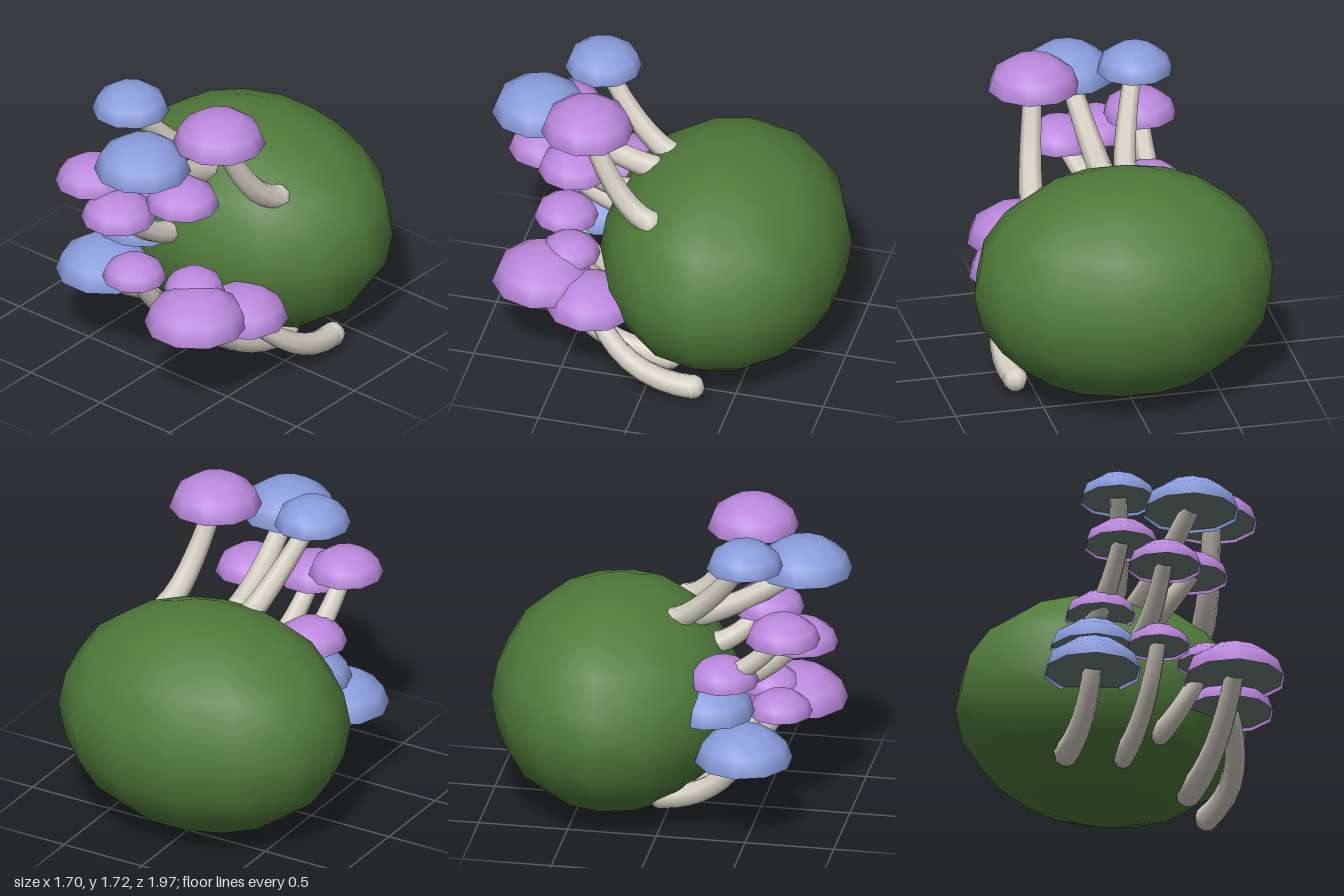
import * as THREE from 'three';

const makeMaterial = (name, color, side = THREE.FrontSide) => {
  const m = new THREE.MeshStandardMaterial({ color, side });
  m.name = name;
  return m;
};

// Curved stalk that narrows from its foot to the cap
function stalkGeometry(foot, bend, top, r0, r1) {
  const steps = 8, sides = 7;
  const curve = new THREE.QuadraticBezierCurve3(foot, bend, top);
  const geo = new THREE.TubeGeometry(curve, steps, 1, sides, false);
  const pos = geo.attributes.position, v = new THREE.Vector3();
  for (let i = 0; i <= steps; i++) {
    const centre = curve.getPointAt(i / steps);
    const r = THREE.MathUtils.lerp(r0, r1, i / steps);
    for (let j = 0; j <= sides; j++) {
      const k = i * (sides + 1) + j;
      v.fromBufferAttribute(pos, k).sub(centre).multiplyScalar(r).add(centre);
      pos.setXYZ(k, v.x, v.y, v.z);
    }
  }
  return geo;
}

export function createModel() {
  const model = new THREE.Group();
  model.name = 'mushroomBoulder';
  const moss = makeMaterial('mossGreen', 0x507a3a);
  const blue = makeMaterial('capBlue', 0x8a9ddd, THREE.DoubleSide);
  const purple = makeMaterial('capPurple', 0xbb88dd, THREE.DoubleSide);
  const cream = makeMaterial('stalkCream', 0xd6d0c5);
  const gill = makeMaterial('gillGrey', 0x6c7f79);

  const add = (parent, name, geo, mat) => {
    const mesh = new THREE.Mesh(geo, mat);
    mesh.name = name;
    parent.add(mesh);
    return mesh;
  };

  // Large mossy body
  const body = add(model, 'body', new THREE.SphereGeometry(1, 14, 10), moss);
  body.scale.set(0.85, 0.638, 0.69);
  body.position.set(0, 0.645, -0.315);

  // Cap: colour, rim centre, radius; stalk: foot and bend point
  const mushrooms = [
    [blue, [-0.24, 1.56, 0.45], 0.215, [-0.09, 1.15, 0.03], [-0.12, 1.24, 0.22]],
    [blue, [0.08, 1.425, 0.73], 0.27, [0.03, 1.12, 0.1], [0.04, 1.2, 0.4]],
    [purple, [0.35, 1.545, 0.39], 0.258, [0.45, 1.05, 0.0], [0.42, 1.1, 0.2]],
    [purple, [-0.32, 1.17, 0.68], 0.21, [-0.31, 0.86, 0.2], [-0.31, 0.92, 0.46]],
    [purple, [-0.085, 1.055, 0.74], 0.21, [-0.06, 0.78, 0.32], [-0.06, 0.84, 0.54]],
    [purple, [0.18, 1.135, 0.505], 0.207, [0.05, 0.96, 0.24], [0.08, 1.0, 0.38]],
    [purple, [-0.3, 0.885, 0.34], 0.2, [-0.3, 0.68, 0.18], [-0.3, 0.72, 0.3]],
    [blue, [-0.315, 0.7, 0.27], 0.25, [-0.31, 0.52, 0.16], [-0.31, 0.56, 0.25]],
    [blue, [-0.405, 0.468, 0.475], 0.275, [-0.36, 0.19, 0.0], [-0.37, 0.2, 0.3]],
    [purple, [-0.07, 0.62, 0.62], 0.18, [-0.06, 0.18, 0.1], [-0.06, 0.24, 0.42]],
    [purple, [0.27, 0.62, 0.51], 0.17, [0.11, 0.3, 0.22], [0.16, 0.36, 0.42]],
    [purple, [0.383, 0.5, 0.633], 0.287, [0.42, 0.13, -0.1], [0.42, 0.14, 0.32]],
    [purple, [0.475, 0.44, 0.335], 0.255, [0.61, 0.09, -0.28], [0.68, 0.13, 0.13]],
  ];

  for (const [mat, rim, r, foot, bend] of mushrooms) {
    const mushroom = new THREE.Group();
    mushroom.name = 'mushroom';
    model.add(mushroom);

    // Shallow faceted dome, open below
    const cap = add(mushroom, 'cap',
      new THREE.SphereGeometry(r, 10, 3, 0, Math.PI * 2, 0, Math.PI / 2), mat);
    cap.scale.y = 0.72;
    cap.position.set(...rim);

    // Gill disc set just inside the rim
    const gills = add(mushroom, 'gills', new THREE.CircleGeometry(r * 0.96, 10), gill);
    gills.rotation.x = Math.PI / 2;
    gills.position.set(rim[0], rim[1] + 0.015, rim[2]);

    // Stalk with a rounded foot
    const r0 = 0.045 + r * 0.1, r1 = 0.032 + r * 0.08;
    const start = new THREE.Vector3(...foot);
    const end = new THREE.Vector3(rim[0], rim[1] + 0.03, rim[2]);
    add(mushroom, 'stalk',
      stalkGeometry(start, new THREE.Vector3(...bend), end, r0, r1), cream);
    const bulb = add(mushroom, 'stalkFoot', new THREE.SphereGeometry(r0, 8, 6), cream);
    bulb.position.copy(start);
  }
  return model;
}
